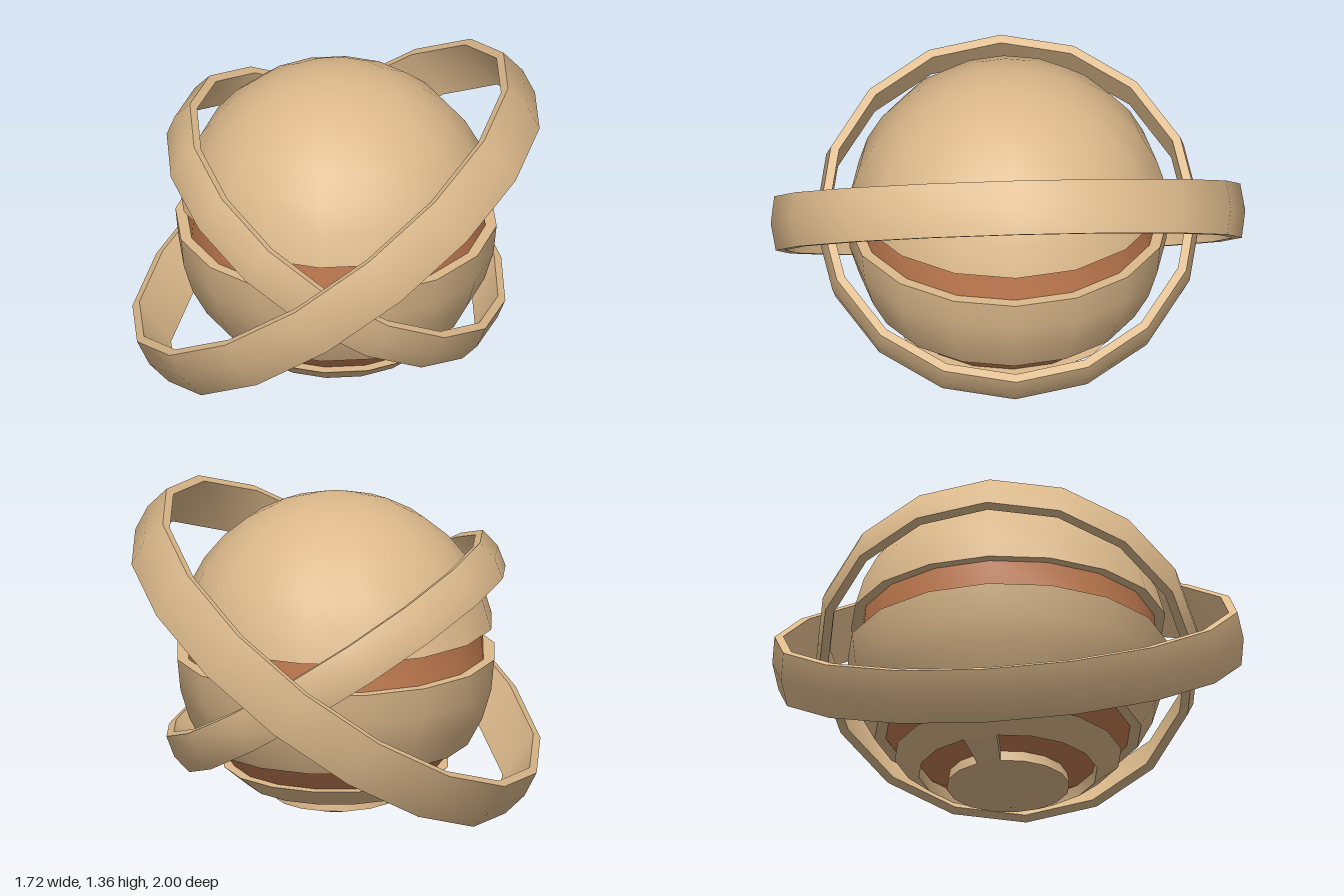
import * as THREE from 'three';
import { toCreasedNormals } from 'three/addons/utils/BufferGeometryUtils.js';
import { ConvexGeometry } from 'three/addons/geometries/ConvexGeometry.js';

const SIDES = 16;
const RADIUS = 0.68;
const CENTER_Y = 0.687;
const STEP = Math.PI / 16;
const GROOVE = 0.047;

// Point on the globe profile, k latitude steps above the bottom pole
const lat = (k) => [RADIUS * Math.sin(k * STEP), CENTER_Y - RADIUS * Math.cos(k * STEP)];
const arc = (from, to) => Array.from({ length: to - from + 1 }, (_, i) => lat(from + i));
const inward = ([r, y]) => [r - GROOVE, y];
const upward = ([r, y]) => [r - 0.008, y + GROOVE];

function lathe(name, points, material) {
  const profile = points.map(([r, y]) => new THREE.Vector2(Math.max(r, 0), y));
  const geometry = toCreasedNormals(new THREE.LatheGeometry(profile, SIDES), 0.6);
  const mesh = new THREE.Mesh(geometry, material);
  mesh.name = name;
  return mesh;
}

// Tilted band with a slightly bulged outer face
function ring(name, radius, halfWidth, tilt, material) {
  const edge = radius - 0.018;
  const inner = radius - 0.055;
  const mesh = lathe(name, [
    [inner, -halfWidth], [edge, -halfWidth], [radius, 0],
    [edge, halfWidth], [inner, halfWidth], [inner, -halfWidth],
  ], material);
  mesh.position.y = CENTER_Y;
  mesh.rotation.z = tilt;
  return mesh;
}

// One-segment block crossing the lowest groove
function bridge(name, startAngle, material) {
  const points = [];
  for (const angle of [startAngle, startAngle + 2 * STEP]) {
    for (const [r, y] of [lat(2), lat(3), upward(lat(3)), upward(lat(2))]) {
      points.push(new THREE.Vector3(r * Math.sin(angle), y, r * Math.cos(angle)));
    }
  }
  const mesh = new THREE.Mesh(new ConvexGeometry(points), material);
  mesh.name = name;
  return mesh;
}

export function createModel() {
  const sand = new THREE.MeshStandardMaterial({ color: 0xdcb98b });
  sand.name = 'sand';
  const clay = new THREE.MeshStandardMaterial({ color: 0xc07a50 });
  clay.name = 'clay';

  const model = new THREE.Group();
  model.name = 'ringedPlanet';

  // Globe shells, each closed by its groove walls
  model.add(
    lathe('upperShell', [inward(lat(9)), ...arc(9, 16)], sand),
    lathe('middleShell', [inward(lat(5)), ...arc(5, 8), inward(lat(8))], sand),
    lathe('lowerShell', [upward(lat(3)), ...arc(3, 4), inward(lat(4))], sand),
    lathe('bottomCap', [...arc(0, 2), upward(lat(2))], sand),
  );

  // Recessed stripes
  model.add(
    lathe('equatorGroove', [inward(lat(8)), inward(lat(9))], clay),
    lathe('lowerGroove', [inward(lat(4)), inward(lat(5))], clay),
    lathe('bottomGroove', [upward(lat(2)), upward(lat(3))], clay),
  );

  // Blocks interrupting the bottom groove on both sides
  model.add(
    bridge('leftBridge', 6 * STEP, sand),
    bridge('rightBridge', 22 * STEP, sand),
  );

  // Crossed rings
  model.add(
    ring('outerRing', 1.0, 0.114, 0.627, sand),
    ring('innerRing', 0.815, 0.09, -0.577, sand),
  );

  return model;
}
